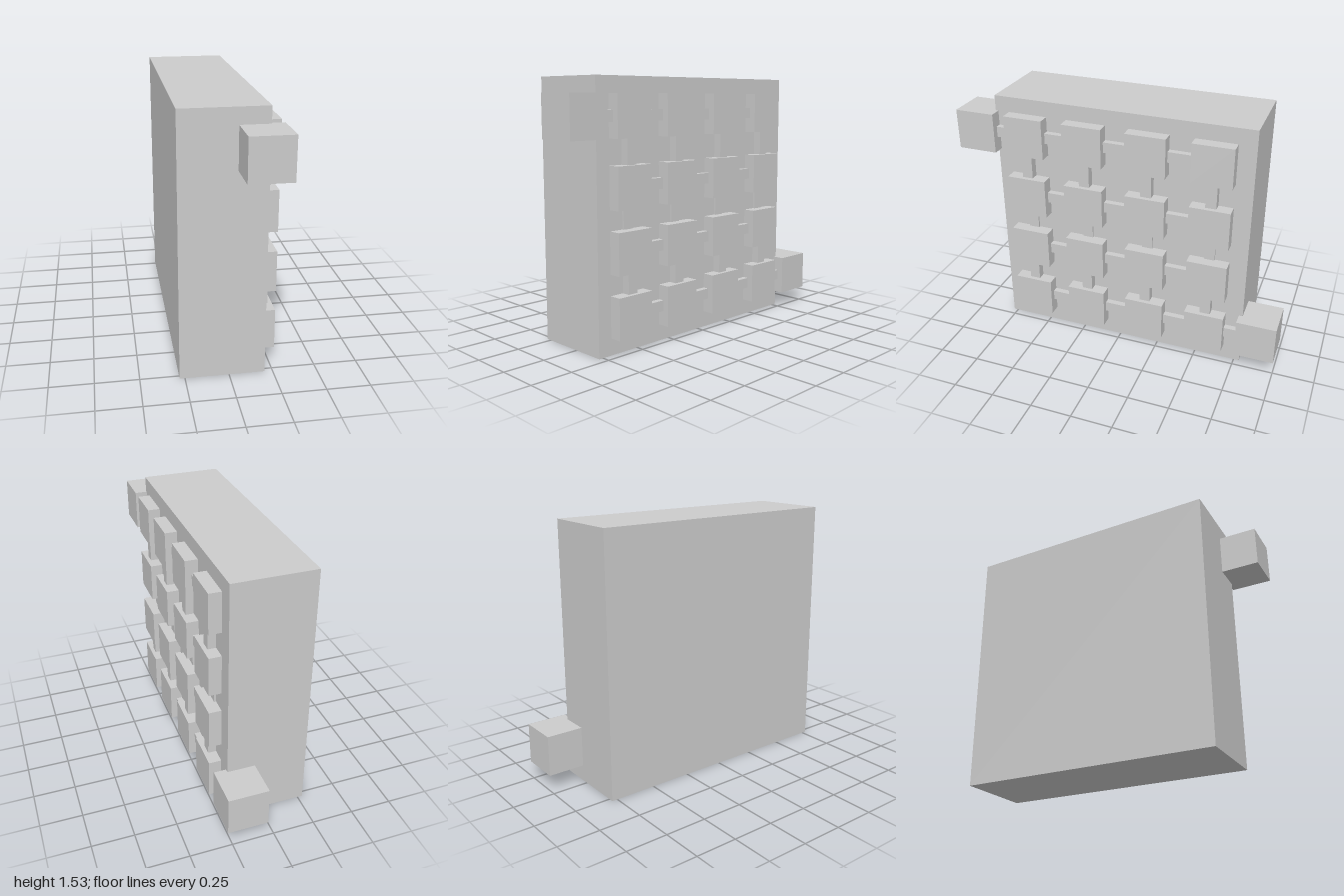
import * as THREE from 'three';

const material = new THREE.MeshStandardMaterial({ color: 0xcccccc, flatShading: true });

// Box given by its min and max along each axis
function addBox(parent, name, [x0, x1], [y0, y1], [z0, z1]) {
  const mesh = new THREE.Mesh(new THREE.BoxGeometry(x1 - x0, y1 - y0, z1 - z0), material);
  mesh.position.set((x0 + x1) / 2, (y0 + y1) / 2, (z0 + z1) / 2);
  mesh.name = name;
  parent.add(mesh);
}

export function createModel() {
  const model = new THREE.Group();
  model.name = 'cubeGridPanel';

  const rows = [1.32, 0.935, 0.578, 0.218];
  const cols = [0.57, 0.205, -0.177, -0.56];
  const h = 0.12; // half a cube
  const b = 0.032; // half a connecting bar
  const cubeX = [0.037, 0.277];
  const span = (c, r) => [c - r, c + r];

  // Thick backing slab
  addBox(model, 'slab', [-0.28, 0.203], [0, 1.533], [-0.783, 0.777]);

  // Grid of cubes set into the slab
  const cubes = new THREE.Group();
  cubes.name = 'gridCubes';
  for (const y of rows) for (const z of cols) addBox(cubes, 'gridCube', cubeX, span(y, h), span(z, h));
  model.add(cubes);

  // Bars joining neighbouring cubes along z and along y
  const bars = new THREE.Group();
  bars.name = 'connectingBars';
  const barTop = [0.252, 0.215, 0.252];
  for (const y of rows)
    for (let i = 0; i < 3; i++)
      addBox(bars, 'horizontalBar', [0.175, 0.239], span(y, b), [cols[i + 1] + h, cols[i] - h]);
  for (const z of cols)
    for (let i = 0; i < 3; i++)
      addBox(bars, 'verticalBar', [0.175, barTop[i]], [rows[i + 1] + h, rows[i] - h], span(z, b));
  model.add(bars);

  // Overhanging cubes at opposite corners, each with its bar
  addBox(model, 'frontEndCube', cubeX, span(rows[0], h), [0.76, 1]);
  addBox(model, 'frontEndBar', [0.175, 0.239], span(rows[0], b), [cols[0] + h, 0.76]);
  addBox(model, 'backEndCube', cubeX, span(rows[3], h), [-1, -0.76]);
  addBox(model, 'backEndBar', [0.175, 0.239], span(rows[3], b), [-0.76, cols[3] - h]);

  return model;
}
